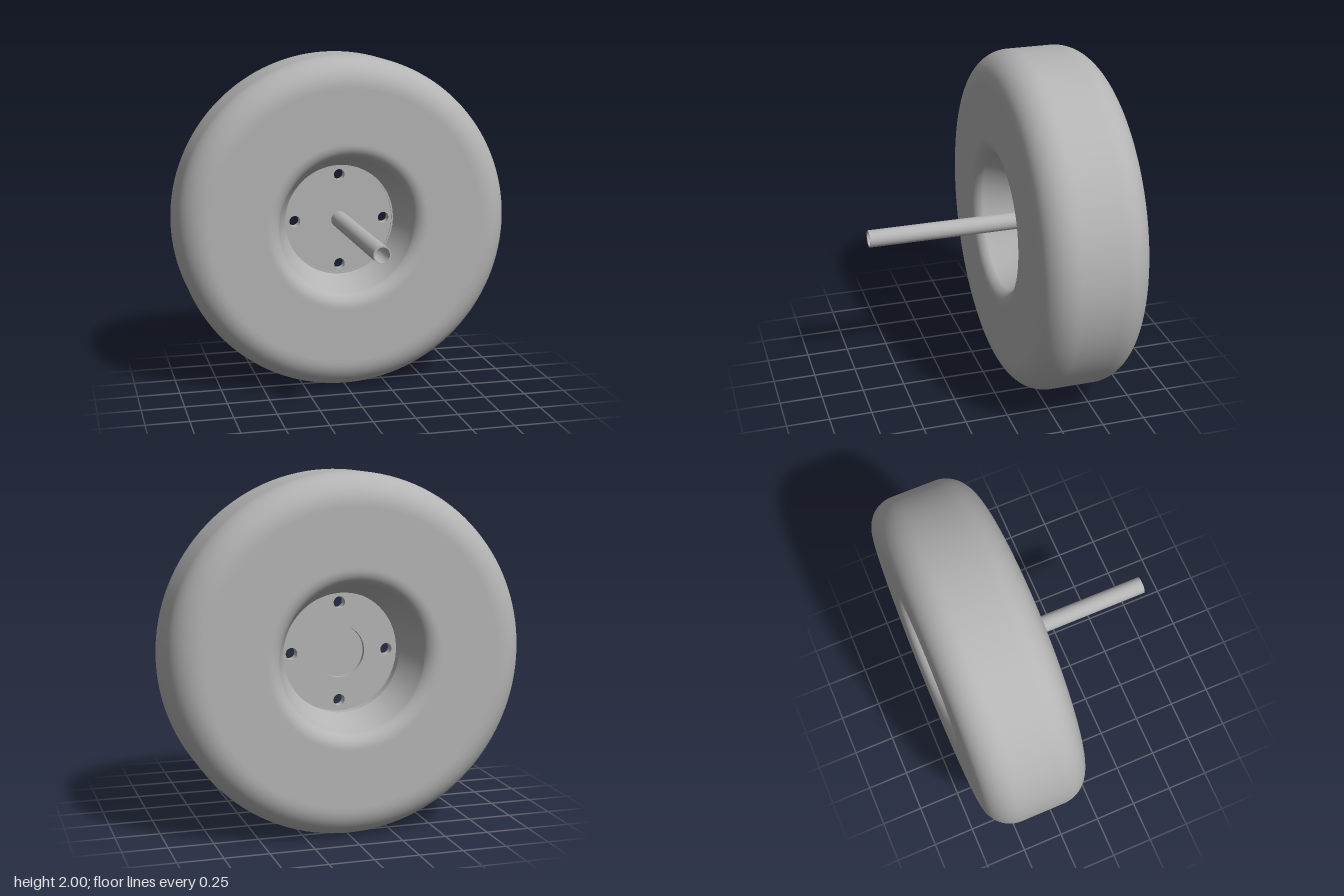
import * as THREE from 'three';

const V = (x, y) => new THREE.Vector2(x, y);
const MID = -0.37; // z of the wheel's middle plane
const HALF = 0.307; // half the tyre width

export function createModel() {
  const model = new THREE.Group();
  const grey = new THREE.MeshStandardMaterial({ color: 0xb4b4b4 });
  grey.name = 'plain grey';

  function add(name, geometry, z = 0) {
    const mesh = new THREE.Mesh(geometry, grey);
    mesh.name = name;
    mesh.position.set(0, 1, z);
    model.add(mesh);
  }
  // Revolve a (radius, z) profile around the wheel axis
  const revolve = (points, segments = 128) =>
    new THREE.LatheGeometry(points, segments).rotateX(Math.PI / 2);
  // Rounded corner running between two angles
  function arc(cx, cy, rx, ry, from, to, steps = 14) {
    return Array.from({ length: steps + 1 }, (_, i) => {
      const a = from + (to - from) * i / steps;
      return V(cx + rx * Math.cos(a), cy + ry * Math.sin(a));
    });
  }

  // Tyre: tread, rounded shoulders, flat sidewalls and flared bore
  const R = 0.175;
  const shoulder = arc(1 - R, HALF - R, R, R, 0, Math.PI / 2);
  const lip = arc(0.49, HALF - 0.085, 0.09, 0.085, Math.PI / 2, Math.PI * 0.88, 10);
  const front = [
    V(1, HALF - R - 0.01), ...shoulder, V(0.815, HALF),
    V(0.5, HALF), ...lip,
    V(0.39, 0.195), V(0.335, 0.06),
  ];
  const back = front.map(p => V(p.x, -p.y)).reverse();
  add('tyre', revolve([...back, ...front]), MID);
  add('tyreBore', revolve([V(0.335, 0.06), V(0.335, -0.06)]), MID);

  // Hub disc in two layers: four bolt holes, and a round recess at the back
  function disc(depth, recess) {
    const shape = new THREE.Shape().absarc(0, 0, 0.335, 0, Math.PI * 2);
    const cut = (x, y, r) =>
      shape.holes.push(new THREE.Path().absarc(x, y, r, 0, Math.PI * 2, true));
    for (let i = 0; i < 4; i++) {
      const a = i * Math.PI / 2;
      cut(0.275 * Math.cos(a), 0.275 * Math.sin(a), 0.033);
    }
    if (recess) cut(0, 0, recess);
    return new THREE.ExtrudeGeometry(shape, { depth, bevelEnabled: false, curveSegments: 48 });
  }
  add('hubDiscFront', disc(0.035, 0), -0.355);
  add('hubDiscBack', disc(0.025, 0.145), -0.38);

  // Narrow raised rim around the disc
  add('hubRimFace', revolve([V(0.336, -0.314), V(0.325, -0.314)]));
  add('hubRimEdge', revolve([V(0.325, -0.314), V(0.325, -0.32)]));

  // Hollow axle
  add('axleOuter', revolve([V(0.05, -0.34), V(0.05, 0.68)], 48));
  add('axleEnd', revolve([V(0.05, 0.68), V(0.042, 0.68)], 48));
  add('axleBore', revolve([V(0.042, 0.68), V(0.042, -0.34)], 48));

  return model;
}
